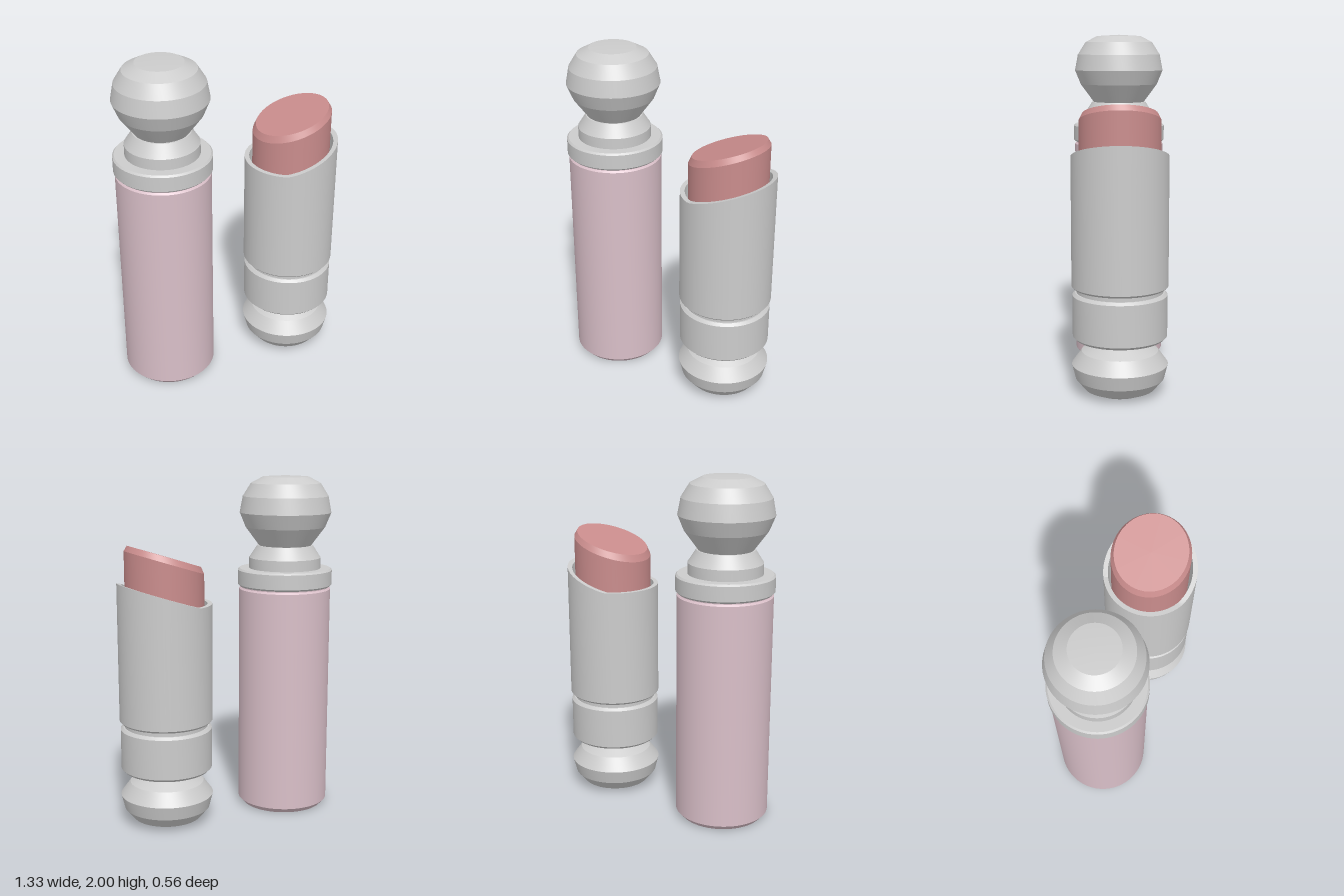
import * as THREE from 'three';
import { toCreasedNormals } from 'three/addons/utils/BufferGeometryUtils.js';

const grey = new THREE.MeshStandardMaterial({ color: 0xcccccc });
const pink = new THREE.MeshStandardMaterial({ color: 0xd9bfc8 });
const rose = new THREE.MeshStandardMaterial({ color: 0xc98c8c });

// Turned part from [radius, height] points; an optional rule reshapes the height of its vertices
function turned(name, profile, material, heightRule) {
  const geometry = new THREE.LatheGeometry(profile.map(([r, y]) => new THREE.Vector2(r, y)), 64);
  if (heightRule) {
    const p = geometry.attributes.position;
    for (let i = 0; i < p.count; i++) p.setY(i, heightRule(p.getX(i), p.getY(i)));
  }
  const mesh = new THREE.Mesh(toCreasedNormals(geometry, 0.2), material);
  mesh.name = name;
  return mesh;
}

// Closed drum with bevelled rims
function drum(name, r, y0, y1, bevel, material) {
  return turned(name, [
    [0, y0], [r - bevel, y0], [r, y0 + bevel], [r, y1 - bevel], [r - bevel, y1], [0, y1],
  ], material);
}

export function createModel() {
  const model = new THREE.Group();
  model.name = 'lipstickSet';

  // Separate cap with its ball knob
  const cap = new THREE.Group();
  cap.name = 'cap';
  cap.position.x = -0.385;
  cap.add(
    turned('capBody', [[0, 0], [0.245, 0], [0.272, 0.03], [0.272, 1.335], [0.262, 1.345], [0.262, 1.36], [0, 1.36]], pink),
    drum('capRing', 0.28, 1.352, 1.457, 0.01, grey),
    turned('capCollar', [[0, 1.45], [0.212, 1.45], [0.212, 1.52], [0.205, 1.53], [0.165, 1.592], [0, 1.592]], grey),
    turned('capKnob', [
      [0, 1.585], [0.15, 1.585], [0.235, 1.7], [0.27, 1.785], [0.252, 1.88],
      [0.205, 1.955], [0.135, 1.992], [0, 2],
    ], grey),
  );

  // Lipstick holder
  const lipstick = new THREE.Group();
  lipstick.name = 'lipstick';
  lipstick.position.x = 0.39;
  lipstick.add(
    turned('footKnob', [
      [0, 0], [0.14, 0.004], [0.2, 0.03], [0.25, 0.09], [0.27, 0.17], [0.215, 0.245], [0.135, 0.295], [0, 0.295],
    ], grey),
    drum('footNeck', 0.13, 0.285, 0.33, 0.002, grey),
    drum('base', 0.265, 0.32, 0.583, 0.015, grey),
    drum('groove', 0.242, 0.575, 0.62, 0.002, grey),
    // Hollow sleeve, rim flat at one side and rising to the other
    turned('sleeve', [
      [0, 0.608], [0.258, 0.608], [0.27, 0.62], [0.27, 1.33], [0.243, 1.33], [0.243, 0.63], [0, 0.63],
    ], grey, (x, y) => (y > 1 ? Math.max(1.298, 1.335 + 0.32 * x) : y)),
    // Slanted colour stick with a bevelled tip
    turned('bullet', [
      [0, 0.63], [0.225, 0.63], [0.225, 1.53], [0.207, 1.565], [0, 1.565],
    ], rose, (x, y) => (y > 1 ? y + 0.32 * x : y)),
  );

  model.add(cap, lipstick);
  return model;
}
